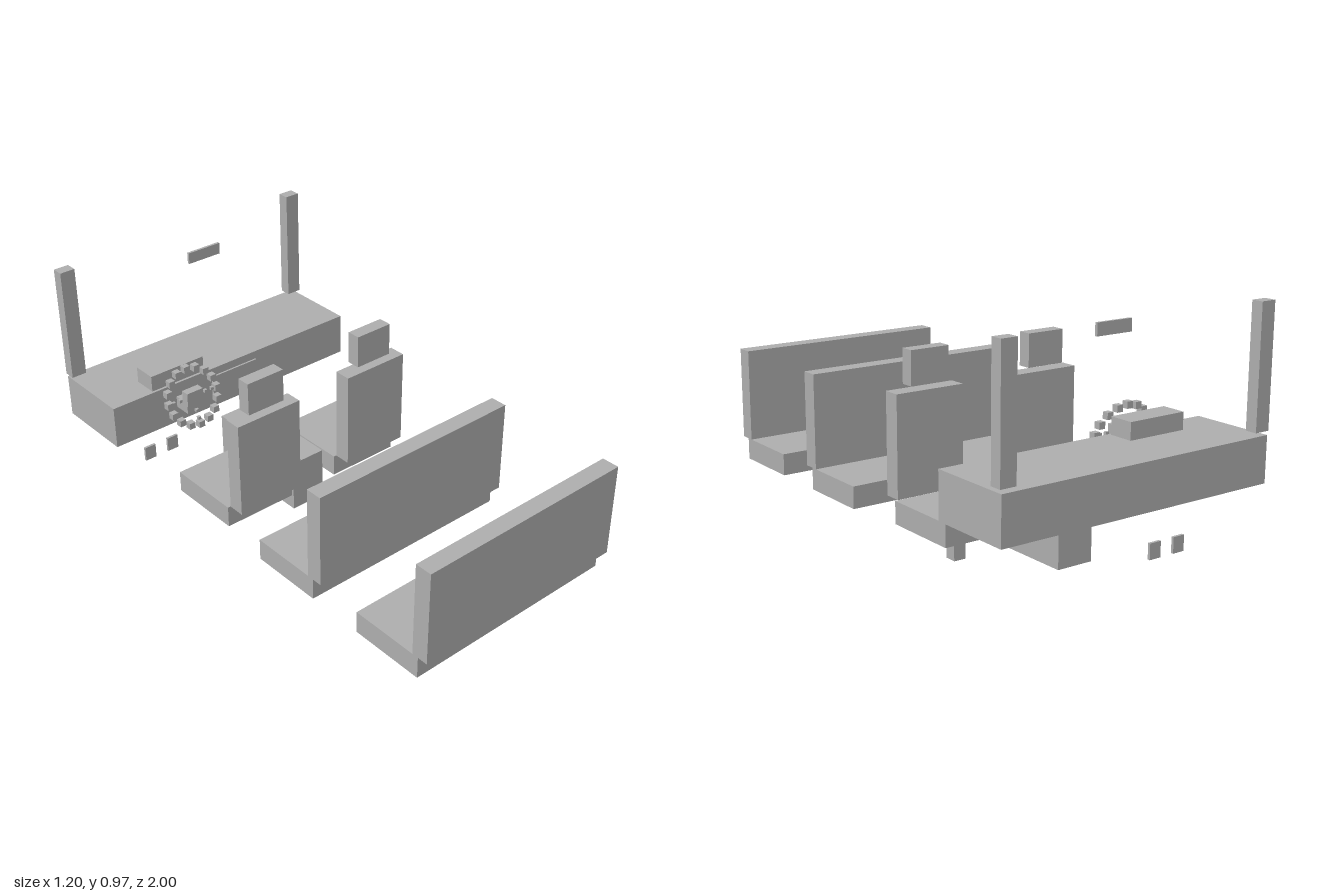
import * as THREE from 'three';

export function createModel() {
  const model = new THREE.Group();
  model.name = 'vehicleInterior';
  const grey = new THREE.MeshStandardMaterial({ color: 0xb0b0b0 });
  grey.name = 'plain grey';

  // Box given by its extents on each axis
  function box(name, [x0, x1], [y0, y1], [z0, z1], parent = model) {
    const mesh = new THREE.Mesh(new THREE.BoxGeometry(x1 - x0, y1 - y0, z1 - z0), grey);
    mesh.position.set((x0 + x1) / 2, (y0 + y1) / 2, (z0 + z1) / 2);
    mesh.name = name;
    parent.add(mesh);
    return mesh;
  }
  const around = (c, w) => [c - w / 2, c + w / 2];
  function group(name) {
    const g = new THREE.Group();
    g.name = name;
    model.add(g);
    return g;
  }

  // Dashboard with instrument hood and centre screen
  box('dashboard', [-0.595, 0.595], [0.305, 0.485], [-1, -0.66]);
  box('instrumentHood', [-0.402, -0.147], [0.485, 0.553], [-0.773, -0.671]);
  box('centreScreen', [-0.115, 0.115], [0.35, 0.45], [-0.66, -0.652]);
  box('centreConsole', [-0.077, 0.077], [0.018, 0.24], [-0.658, -0.178]);

  // Windscreen pillars and mirror
  for (const side of [-1, 1]) box('windscreenPillar', around(side * 0.568, 0.064), [0.5, 0.972], [-1, -0.952]);
  box('rearMirror', [-0.077, 0.077], [0.893, 0.94], around(-0.833, 0.011));

  // Pedals
  for (const x of [-0.337, -0.222]) box('pedal', around(x, 0.052), [0.05, 0.113], around(-0.833, 0.011));

  // Front seats
  for (const side of [-1, 1]) {
    const seat = group(side < 0 ? 'driverSeat' : 'passengerSeat');
    const x = side * 0.272;
    box('seatCushion', around(x, 0.32), [0.12, 0.21], [-0.467, -0.145], seat);
    box('seatBack', around(x, 0.295), [0.21, 0.61], [-0.144, -0.073], seat);
    box('headrest', around(x, 0.167), [0.63, 0.765], [-0.144, -0.088], seat);
    box('seatPedestal', around(x, 0.05), [0, 0.12], around(-0.305, 0.048), seat);
  }

  // Rear benches
  for (const z of [0.45, 1]) {
    const bench = group('rearBench');
    box('benchCushion', [-0.465, 0.465], [0.12, 0.21], [z - 0.354, z - 0.043], bench);
    box('benchBack', [-0.465, 0.465], [0.21, 0.595], [z - 0.07, z], bench);
  }

  // Steering wheel: a tilted ring of upright cubes, with three spokes of smaller ones
  const wheel = group('steeringWheel');
  const cx = -0.274, cy = 0.459, cz = -0.573, tilt = Math.atan2(0.043, 0.109);
  function bead(name, radius, angle, size) {
    const up = radius * Math.sin(angle);
    box(name, around(cx + radius * Math.cos(angle), size), around(cy + up * Math.cos(tilt), size),
      around(cz - up * Math.sin(tilt), size), wheel);
  }
  for (let i = 0; i < 16; i++) bead('rimBlock', 0.117, i * Math.PI / 8, 0.027);
  for (const angle of [0, Math.PI, -Math.PI / 2])
    for (const radius of [0.062, 0.094]) bead('spokeBlock', radius, angle, 0.013);
  box('wheelHub', around(cx, 0.077), around(cy, 0.06), around(cz, 0.036), wheel);
  box('steeringColumn', around(cx, 0.043), [0.375, 0.424], [-0.66, -0.585], wheel);

  return model;
}
